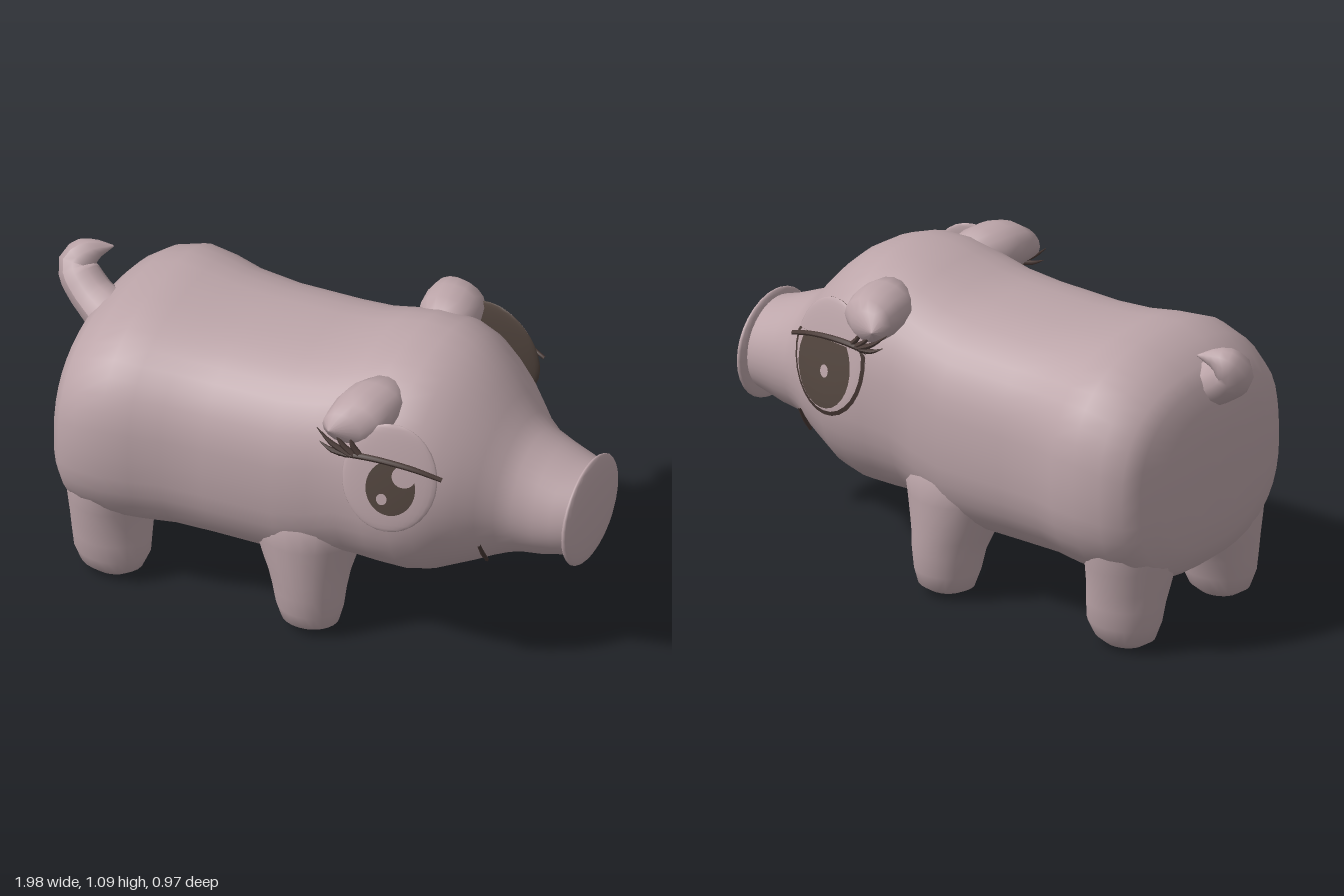
import * as THREE from 'three';

const material = (name, color) => {
  const m = new THREE.MeshStandardMaterial({ color });
  m.name = name;
  return m;
};

// Skin a list of closed rings, each an array of [x, y, z]
function loft(rings) {
  const n = rings[0].length, index = [];
  for (let r = 0; r < rings.length - 1; r++) {
    for (let i = 0; i < n; i++) {
      const a = r * n + i, b = r * n + (i + 1) % n;
      index.push(a, b, a + n, b, b + n, a + n);
    }
  }
  const g = new THREE.BufferGeometry();
  g.setAttribute('position', new THREE.Float32BufferAttribute(rings.flat(2), 3));
  g.setIndex(index);
  g.computeVertexNormals();
  return g;
}

const around = (n, fn) => Array.from({ length: n }, (_, i) => fn(i / n * Math.PI * 2));
const bulge = (v, n) => Math.sign(v) * Math.abs(v) ** (2 / n);

// Upright limb from [y, centreX, centreZ, radiusX, radiusZ]
const limb = rows => loft(rows.map(([y, cx, cz, rx, rz]) =>
  around(24, t => [cx + rx * Math.sin(t), y, cz + rz * Math.cos(t)])));

// Tube whose radius follows a list of values along its path
function taperedTube(points, radii, sides = 10, steps = 16) {
  const curve = new THREE.CatmullRomCurve3(points.map(p => new THREE.Vector3(...p)));
  const g = new THREE.TubeGeometry(curve, steps, 1, sides);
  const pos = g.attributes.position, v = new THREE.Vector3();
  for (let i = 0; i < pos.count; i++) {
    const u = Math.floor(i / (sides + 1)) / steps, f = u * (radii.length - 1);
    const k = Math.min(Math.floor(f), radii.length - 2);
    const c = curve.getPointAt(u);
    v.fromBufferAttribute(pos, i).sub(c)
      .multiplyScalar(THREE.MathUtils.lerp(radii[k], radii[k + 1], f - k)).add(c);
    pos.setXYZ(i, v.x, v.y, v.z);
  }
  g.computeVertexNormals();
  return g;
}

// Flip across the middle plane, keeping faces outward
function mirror(g) {
  g.scale(1, 1, -1);
  const a = g.index.array;
  for (let i = 0; i < a.length; i += 3) [a[i], a[i + 1]] = [a[i + 1], a[i]];
  g.computeVertexNormals();
  return g;
}

// Curved plate lying on the eye lens, cut off along the lid
function eyePlate(cx, cy, rx, ry, lift, inner = 0, lid = 1) {
  const g = new THREE.RingGeometry(inner, 1, 28, inner ? 1 : 5);
  const pos = g.attributes.position;
  for (let i = 0; i < pos.count; i++) {
    const x = cx + pos.getX(i) * rx, y = Math.min(cy + pos.getY(i) * ry, lid);
    const d = Math.max(0, 1 - (x / 0.16) ** 2 - (y / 0.195) ** 2);
    pos.setXYZ(i, x, y, 0.02 * Math.sqrt(d) + lift);
  }
  g.computeVertexNormals();
  return g;
}

export function createModel() {
  const pig = new THREE.Group();
  pig.name = 'pig';
  const skin = material('dusty pink', 0xbca5a9);
  const brown = material('iris brown', 0x53463f);
  const dark = material('lash brown', 0x483935);
  const add = (name, geo, mat = skin, parent = pig) => {
    const m = new THREE.Mesh(geo, mat);
    m.name = name;
    parent.add(m);
  };

  // Body, head and snout: [x, top, bottom, halfWidth, squareness]
  const sections = [
    [-0.852, 0.6, 0.6, 0, 2], [-0.85, 0.72, 0.42, 0.16, 2.2], [-0.838, 0.82, 0.32, 0.29, 2.4],
    [-0.81, 0.89, 0.25, 0.39, 2.5], [-0.77, 0.935, 0.22, 0.44, 2.5], [-0.7, 0.985, 0.205, 0.473, 2.5],
    [-0.6, 1.02, 0.2, 0.484, 2.5], [-0.5, 1.014, 0.205, 0.468, 2.5], [-0.4, 1.003, 0.21, 0.438, 2.5],
    [-0.25, 0.998, 0.208, 0.423, 2.5], [0, 1.008, 0.21, 0.42, 2.5], [0.12, 1.025, 0.24, 0.405, 2.5],
    [0.22, 1.06, 0.262, 0.397, 2.4], [0.32, 1.085, 0.258, 0.405, 2.35], [0.42, 1.087, 0.255, 0.408, 2.25],
    [0.5, 1.062, 0.27, 0.395, 2.15], [0.57, 1.02, 0.297, 0.365, 2], [0.63, 0.965, 0.325, 0.325, 2],
    [0.68, 0.91, 0.35, 0.282, 2], [0.73, 0.85, 0.37, 0.24, 2], [0.78, 0.81, 0.383, 0.212, 2],
    [0.85, 0.78, 0.392, 0.195, 2], [0.91, 0.755, 0.41, 0.185, 2], [0.96, 0.74, 0.42, 0.17, 2]
  ];
  add('body', loft(sections.map(([x, top, bottom, w, n]) => around(40, t => [
    x, (top + bottom) / 2 + (top - bottom) / 2 * bulge(Math.cos(t), n), w * bulge(Math.sin(t), n)
  ]))));

  // Nose disc
  add('noseDisc', new THREE.SphereGeometry(1, 24, 16).scale(0.028, 0.188, 0.206).translate(0.97, 0.574, 0));

  // Plump curled tail
  add('tail', taperedTube(
    [[-0.75, 0.85, 0.06], [-0.86, 0.9, 0.02], [-0.925, 0.965, -0.02], [-0.89, 1.005, -0.05], [-0.825, 1.02, -0.09]],
    [0.09, 0.075, 0.07, 0.055, 0.003]));

  for (const side of [1, -1]) {
    const word = side > 0 ? 'Front' : 'Back';
    const bake = g => side > 0 ? g : mirror(g);

    // Legs, flaring into the belly
    add('foreleg' + word, bake(limb([
      [0.012, 0.075, 0.265, 0, 0], [0.015, 0.075, 0.265, 0.065, 0.055], [0.035, 0.072, 0.265, 0.1, 0.085],
      [0.09, 0.07, 0.262, 0.115, 0.107], [0.16, 0.067, 0.258, 0.125, 0.122], [0.22, 0.06, 0.243, 0.138, 0.142],
      [0.28, 0.052, 0.225, 0.16, 0.165], [0.36, 0.045, 0.215, 0.185, 0.178], [0.44, 0.04, 0.21, 0.21, 0.185],
      [0.55, 0.04, 0.2, 0.16, 0.15], [0.6, 0.04, 0.2, 0, 0]])));
    add('hindLeg' + word, bake(limb([
      [0, -0.655, 0.265, 0, 0], [0.008, -0.655, 0.265, 0.07, 0.055], [0.035, -0.657, 0.265, 0.11, 0.085],
      [0.09, -0.655, 0.265, 0.132, 0.11], [0.16, -0.658, 0.26, 0.137, 0.125], [0.22, -0.662, 0.25, 0.14, 0.145],
      [0.3, -0.665, 0.24, 0.148, 0.168], [0.4, -0.66, 0.235, 0.158, 0.19], [0.5, -0.65, 0.23, 0.155, 0.19],
      [0.6, -0.65, 0.23, 0, 0]])));

    // Folded ear, swept outward: [z, centreX, centreY, radiusX, radiusY]
    add('ear' + word, bake(loft([
      [0.17, 0.34, 0.97, 0, 0], [0.2, 0.33, 0.975, 0.08, 0.07], [0.27, 0.315, 0.975, 0.105, 0.08],
      [0.34, 0.305, 0.973, 0.105, 0.085], [0.4, 0.295, 0.968, 0.095, 0.075], [0.435, 0.27, 0.962, 0.07, 0.055],
      [0.462, 0.235, 0.957, 0, 0]
    ].map(([z, cx, cy, rx, ry]) => around(16, t => [cx + rx * Math.cos(t), cy + ry * Math.sin(t), z])))));

    // Eye, leaning against the head by a shear
    const lean = new THREE.Matrix4().set(
      1, 0, 0, 0.44, 0, 1, 0, 0.805, -0.19, -0.18, 1, side > 0 ? 0.42 : 0.408, 0, 0, 0, 1);
    const eye = new THREE.Group();
    eye.name = 'eye' + word;
    pig.add(eye);
    const addEye = (name, g, mat) => add(name, bake(g.applyMatrix4(lean)), mat, eye);

    addEye('eyeball', new THREE.SphereGeometry(1, 28, 16).scale(0.16, 0.195, 0.02), skin);
    if (side > 0) {
      addEye('iris', eyePlate(0.013, -0.025, 0.083, 0.1, 0.003), brown);
      addEye('largeGlint', eyePlate(0.056, 0.026, 0.04, 0.04, 0.006), skin);
      addEye('smallGlint', eyePlate(-0.012, -0.066, 0.018, 0.021, 0.006), skin);
    } else {
      addEye('iris', eyePlate(0.015, -0.03, 0.122, 0.145, 0.003, 0, 0.06), brown);
      addEye('rim', eyePlate(0, 0, 0.162, 0.197, 0.004, 0.92, 0.06), dark);
      addEye('glint', eyePlate(0.005, -0.045, 0.018, 0.022, 0.006), skin);
      addEye('eyeBack', new THREE.SphereGeometry(1, 14, 16, Math.PI, Math.PI).scale(0.161, 0.196, 0.023), brown);
    }

    // Lid line and lashes
    addEye('lid', taperedTube(
      [[0.178, 0.028, 0.01], [0.08, 0.058, 0.022], [-0.04, 0.073, 0.022], [-0.17, 0.07, 0.01]],
      [0.007, 0.009, 0.01, 0.011], 8), dark);
    for (const [x, y, tipX, tipY] of [
      [-0.14, 0.07, -0.24, 0.1], [-0.13, 0.07, -0.253, 0.148], [-0.115, 0.07, -0.195, 0.15], [-0.1, 0.075, -0.14, 0.148]
    ]) {
      addEye('lash', taperedTube(
        [[x, y, 0.015], [(x + tipX) / 2 - 0.006, (y + tipY) / 2 - 0.006, 0.016], [tipX, tipY, 0.01]],
        [0.011, 0.008, 0.001], 6, 6), dark);
    }

    // Mouth crease
    add('mouth' + word, bake(taperedTube(
      [[0.684, 0.5, 0.25], [0.684, 0.45, 0.222], [0.684, 0.4, 0.187]], [0.006, 0.008, 0.006], 6, 8)), dark);
  }
  return pig;
}
